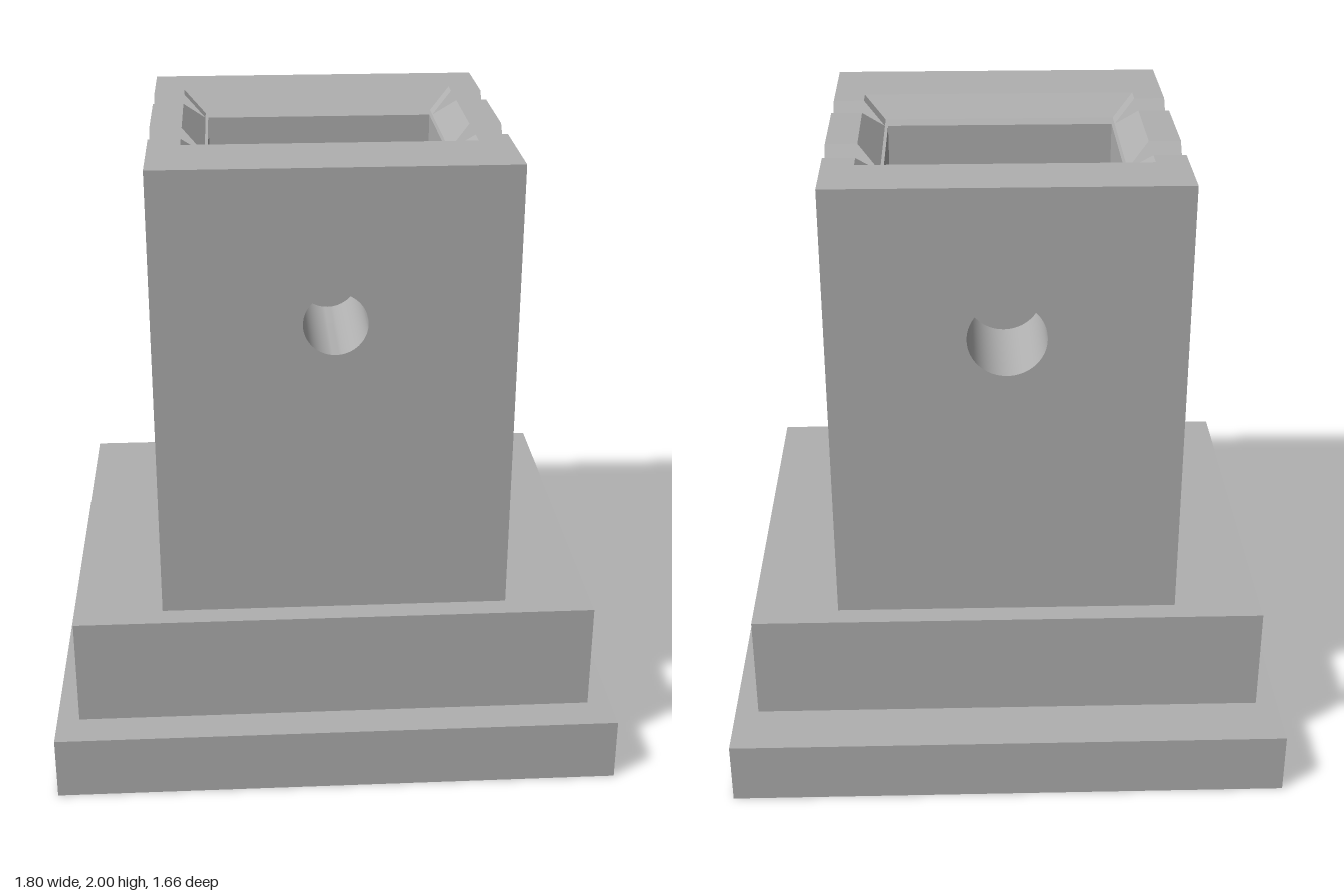
import * as THREE from 'three';
import { toCreasedNormals } from 'three/addons/utils/BufferGeometryUtils.js';

const stone = new THREE.MeshStandardMaterial({ color: 0xb0b0b0 });
stone.name = 'stone grey';

const PLINTH_TOP = 0.205, STEP_TOP = 0.555, LEDGE = 1.935, TOP = 2;
const HALF = 0.55, BACK = -0.57, FRONT = 0.635; // tower outline
const BORE_X = 0.37, BORE_BACK = -0.23, BORE_FRONT = 0.22; // tower cavity

export function createModel() {
  const model = new THREE.Group();
  model.name = 'steppedTower';

  function add(name, geometry) {
    const mesh = new THREE.Mesh(geometry, stone);
    mesh.name = name;
    model.add(mesh);
    return mesh;
  }

  // Block between two heights; rectangles are [x0, x1, z0, z1], top may be narrower
  function block(name, y0, y1, bottom, top = bottom) {
    const g = new THREE.BoxGeometry(1, 1, 1).toNonIndexed();
    const p = g.attributes.position;
    for (let i = 0; i < p.count; i++) {
      const up = p.getY(i) > 0;
      const r = up ? top : bottom;
      p.setXYZ(i, p.getX(i) < 0 ? r[0] : r[1], up ? y1 : y0, p.getZ(i) < 0 ? r[2] : r[3]);
    }
    g.computeVertexNormals();
    return add(name, g);
  }

  function rectangle(path, x0, x1, y0, y1) {
    path.moveTo(x0, y0);
    path.lineTo(x1, y0);
    path.lineTo(x1, y1);
    path.lineTo(x0, y1);
    path.closePath();
    return path;
  }

  // Tower wall with a round opening
  function piercedWall(name, z0, z1, radius) {
    const shape = rectangle(new THREE.Shape(), -HALF, HALF, STEP_TOP, LEDGE);
    shape.holes.push(new THREE.Path().absarc(0, 1.52, radius, 0, Math.PI * 2, true));
    const g = new THREE.ExtrudeGeometry(shape, { depth: z1 - z0, bevelEnabled: false, curveSegments: 32 });
    g.translate(0, 0, z0);
    add(name, toCreasedNormals(g, 0.6));
  }

  // Plinth and the hollow step on it
  block('plinth', 0, PLINTH_TOP, [-0.9, 0.9, -0.83, 0.83]);
  const step = rectangle(new THREE.Shape(), -0.83, 0.825, -0.64, 0.71);
  step.holes.push(rectangle(new THREE.Path(), -0.345, 0.345, -0.21, 0.205));
  const stepGeometry = new THREE.ExtrudeGeometry(step, { depth: STEP_TOP - PLINTH_TOP, bevelEnabled: false });
  stepGeometry.rotateX(Math.PI / 2).translate(0, STEP_TOP, 0);
  add('hollowStep', stepGeometry);

  // Tower walls
  piercedWall('frontWall', BORE_FRONT, FRONT, 0.098);
  piercedWall('backWall', BACK, BORE_BACK, 0.122);
  block('rightWall', STEP_TOP, LEDGE, [-HALF, -BORE_X, BORE_BACK, BORE_FRONT]);
  block('leftWall', STEP_TOP, LEDGE, [BORE_X, HALF, BORE_BACK, BORE_FRONT]);

  // Chamfered rim at front and back
  block('frontRim', LEDGE, TOP, [-HALF, HALF, 0.29, FRONT], [-HALF, HALF, 0.36, FRONT]);
  block('backRim', LEDGE, TOP, [-HALF, HALF, BACK, -0.295], [-HALF, HALF, BACK, -0.36]);

  // Side rims: sloped pieces that leave V notches between them
  for (const s of [-1, 1]) {
    const side = s < 0 ? 'right' : 'left';
    const span = (inner, z0, z1) => (s < 0 ? [-HALF, -inner, z0, z1] : [inner, HALF, z0, z1]);
    block(side + 'RimMiddle', LEDGE, TOP, span(0.38, BORE_BACK, BORE_FRONT), span(0.45, -0.16, 0.155));
    block(side + 'RimFrontCorner', LEDGE, TOP, span(0.38, BORE_FRONT, 0.36), span(0.45, 0.29, 0.36));
    block(side + 'RimBackCorner', LEDGE, TOP, span(0.38, -0.36, BORE_BACK), span(0.45, -0.36, -0.295));
  }

  return model;
}
